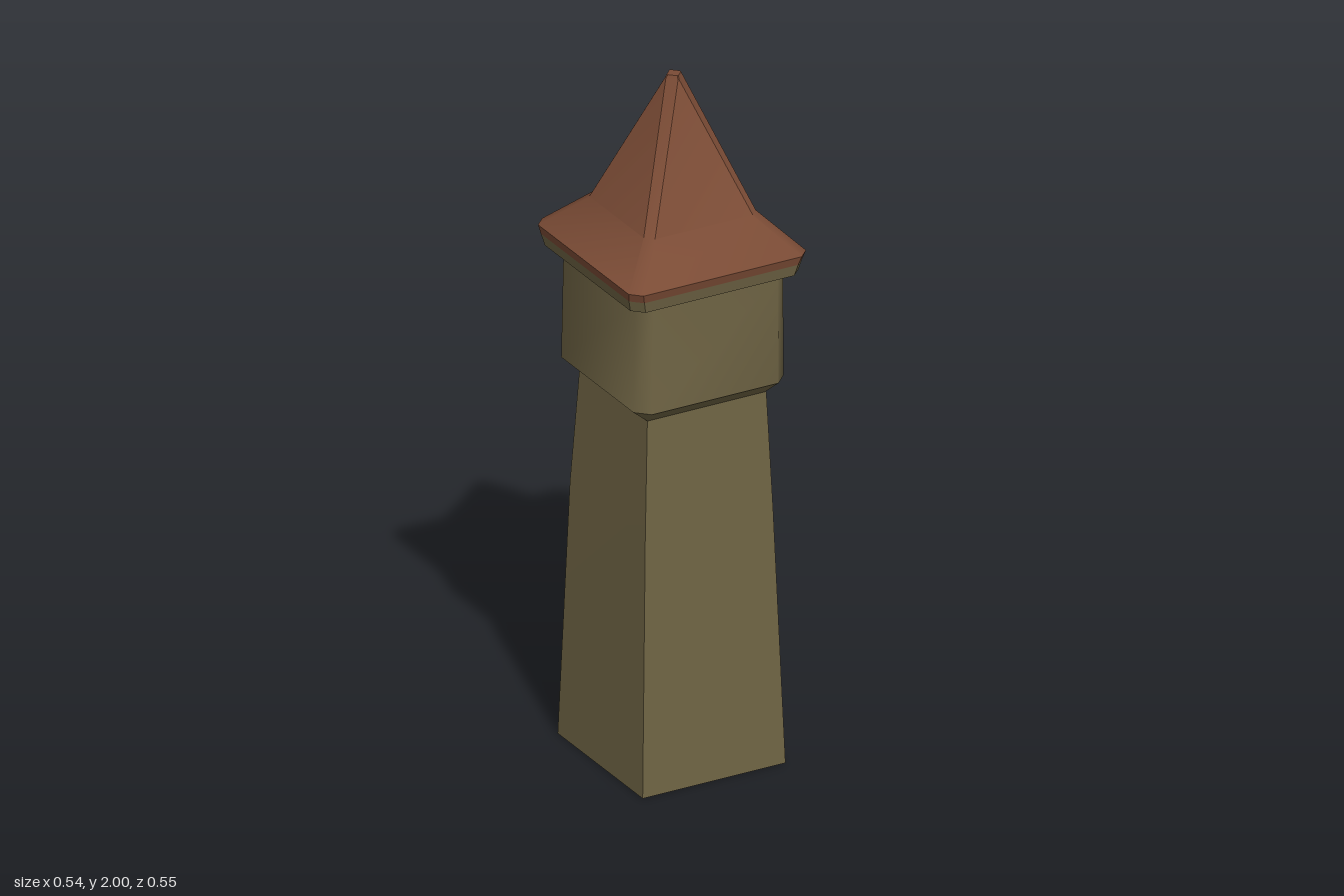
import * as THREE from 'three';
import { toCreasedNormals } from 'three/addons/utils/BufferGeometryUtils.js';

// Rectangular ring with cut corners: [y, x0, x1, z0, z1, cut]
function ring([y, x0, x1, z0, z1, c]) {
  const flat = c
    ? [[x1, z1 - c], [x1 - c, z1], [x0 + c, z1], [x0, z1 - c],
       [x0, z0 + c], [x0 + c, z0], [x1 - c, z0], [x1, z0 + c]]
    : [[x1, z1], [x0, z1], [x0, z0], [x1, z0]];
  return flat.map(([x, z]) => [x, y, z]);
}

// Skin a stack of rings, optionally closing the top
function loft(sections, crease, capped = false) {
  const rings = sections.map(ring);
  const pos = [];
  const tri = (a, b, c) => pos.push(...a, ...b, ...c);
  const n = rings[0].length;
  for (let r = 0; r < rings.length - 1; r++) {
    const a = rings[r], b = rings[r + 1];
    for (let i = 0; i < n; i++) {
      const j = (i + 1) % n;
      tri(a[i], b[i], a[j]);
      tri(a[j], b[i], b[j]);
    }
  }
  if (capped) {
    const t = rings[rings.length - 1];
    for (let i = 1; i < n - 1; i++) tri(t[0], t[i + 1], t[i]);
  }
  const g = new THREE.BufferGeometry();
  g.setAttribute('position', new THREE.Float32BufferAttribute(pos, 3));
  return toCreasedNormals(g, crease);
}

export function createModel() {
  const group = new THREE.Group();
  group.name = 'watchtower';
  const material = (name, color) => {
    const m = new THREE.MeshStandardMaterial({ color, side: THREE.DoubleSide });
    m.name = name;
    return m;
  };
  const stone = material('stone', 0x6f6444);
  const tile = material('roofTile', 0x7a4b35);
  const add = (name, geometry, mat) => {
    const mesh = new THREE.Mesh(geometry, mat);
    mesh.name = name;
    group.add(mesh);
  };

  // Tapered square shaft, open underneath
  add('shaft', loft([
    [0, -0.225, 0.213, -0.222, 0.235, 0],
    [0.75, -0.2, 0.192, -0.2, 0.205, 0],
    [1.09, -0.185, 0.18, -0.175, 0.19, 0],
  ], 0.5), stone);

  // Wider upper room with softened corners
  add('upperRoom', loft([
    [1.09, -0.185, 0.18, -0.175, 0.19, 0.004],
    [1.135, -0.237, 0.224, -0.218, 0.242, 0.036],
    [1.45, -0.23, 0.224, -0.218, 0.238, 0.036],
  ], 0.85), stone);

  // Underside of the eaves
  add('soffit', loft([
    [1.45, -0.23, 0.224, -0.218, 0.238, 0.036],
    [1.452, -0.26, 0.256, -0.26, 0.26, 0.03],
  ], 0.5), tile);

  // Stone band below the roof edge
  add('eavesBand', loft([
    [1.452, -0.26, 0.256, -0.26, 0.26, 0.03],
    [1.485, -0.268, 0.264, -0.267, 0.267, 0.03],
  ], 0.5), stone);

  // Roof edge, flared skirt and steep spire
  add('roof', loft([
    [1.485, -0.268, 0.264, -0.267, 0.267, 0.03],
    [1.51, -0.273, 0.271, -0.273, 0.273, 0.029],
    [1.61, -0.17, 0.174, -0.17, 0.166, 0.022],
    [1.99, -0.024, 0.027, -0.022, 0.031, 0.024],
    [2.0, -0.018, 0.022, -0.016, 0.026, 0.018],
  ], 0.6, true), tile);

  return group;
}
